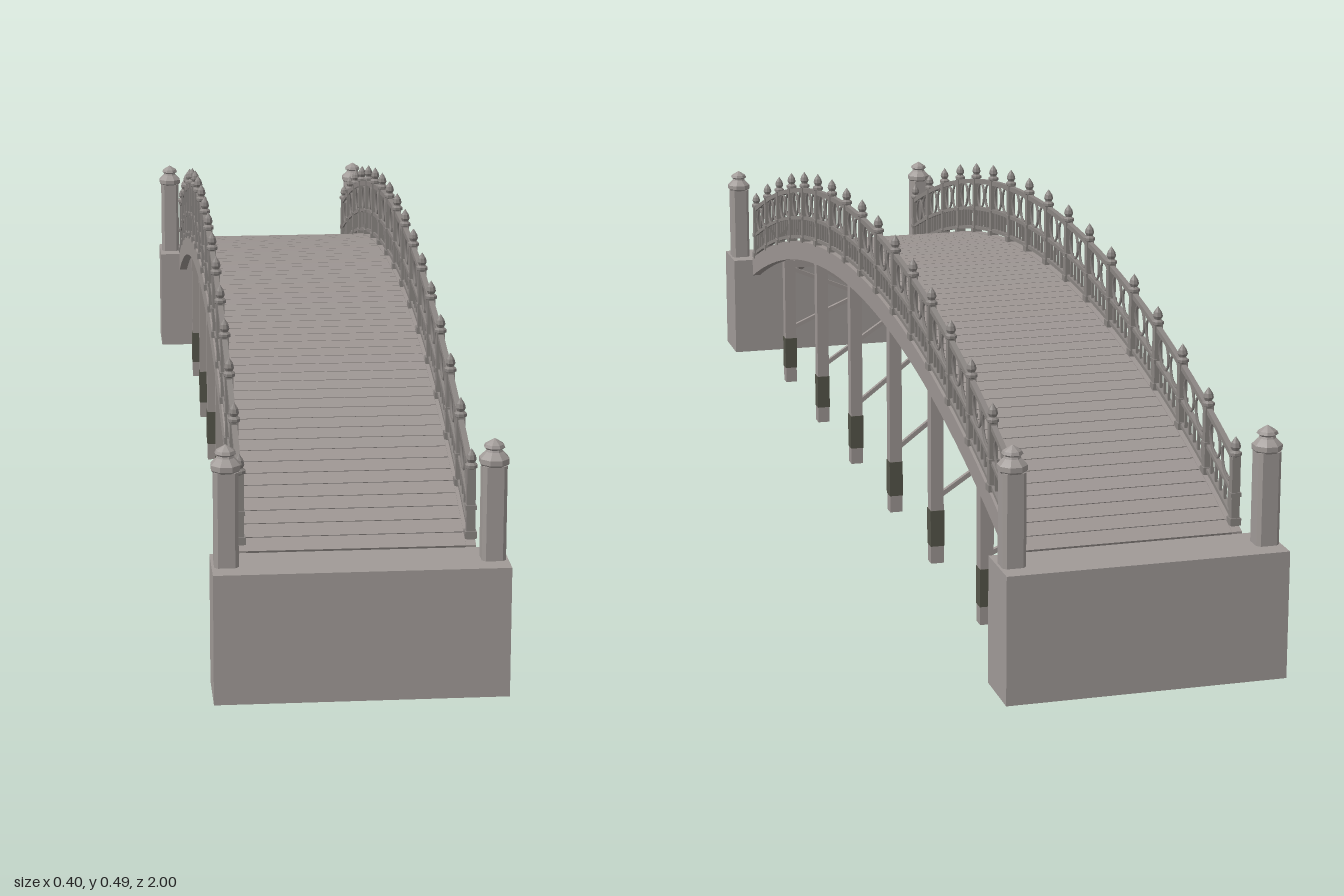
import * as THREE from 'three';
import { mergeGeometries, toCreasedNormals } from 'three/addons/utils/BufferGeometryUtils.js';

const END = 0.91, TOP = 0.36, RISE = 0.175;
const R = (END * END + RISE * RISE) / (2 * RISE);
// height of the walking surface along the arch
const deckY = (z) => TOP - R + Math.sqrt(R * R - z * z);

const mat = (name, color) => {
  const m = new THREE.MeshStandardMaterial({ color });
  m.name = name;
  return m;
};

const box = (w, h, d, x, y, z) => new THREE.BoxGeometry(w, h, d).translate(x, y, z);

// arched strip between two heights above the deck
function archStrip(x, width, low, high, end = END) {
  const n = 48, pts = [];
  for (let i = 0; i <= n; i++) {
    const z = -end + (2 * end * i) / n;
    pts.push(new THREE.Vector2(z, deckY(z) + low));
  }
  for (let i = n; i >= 0; i--) {
    const z = -end + (2 * end * i) / n;
    pts.push(new THREE.Vector2(z, deckY(z) + high));
  }
  const g = new THREE.ExtrudeGeometry(new THREE.Shape(pts), { depth: width, bevelEnabled: false });
  return g.translate(0, 0, -width / 2).rotateY(-Math.PI / 2).translate(x, 0, 0);
}

// faceted turned shape from [radius, height] pairs
function turned(profile, sides) {
  const g = new THREE.LatheGeometry(profile.map(([r, y]) => new THREE.Vector2(r, y)), sides);
  return toCreasedNormals(g.rotateY(Math.PI / sides), 0.3);
}

// square bar between two points
function bar(a, b, size) {
  const dir = b.clone().sub(a), len = dir.length();
  const q = new THREE.Quaternion().setFromUnitVectors(new THREE.Vector3(0, 1, 0), dir.normalize());
  const mid = a.clone().add(b).multiplyScalar(0.5);
  return new THREE.BoxGeometry(size, len, size).applyQuaternion(q).translate(mid.x, mid.y, mid.z);
}

export function createModel() {
  const model = new THREE.Group();
  model.name = 'archedFootbridge';
  const stone = mat('stone', 0xa09a97);
  const wood = mat('weatheredWood', 0x9c9592);
  const iron = mat('railingGrey', 0x8a8582);
  const weed = mat('darkWaterline', 0x55554a);
  const add = (name, geometry, material) => {
    const m = new THREE.Mesh(geometry, material);
    m.name = name;
    model.add(m);
    return m;
  };

  // abutments and their gate posts
  const c = 0.0165, k = 0.005;
  const section = new THREE.Shape([
    [-c, -c + k], [-c + k, -c], [c - k, -c], [c, -c + k],
    [c, c - k], [c - k, c], [-c + k, c], [-c, c - k],
  ].map(([x, y]) => new THREE.Vector2(x, y)));
  const pillar = new THREE.ExtrudeGeometry(section, { depth: 0.132, bevelEnabled: false })
    .rotateX(-Math.PI / 2);
  const cap = turned([[0, 0.13], [0.017, 0.13], [0.021, 0.134], [0.021, 0.141], [0.012, 0.15],
    [0.011, 0.153], [0.015, 0.156], [0.013, 0.16], [0, 0.168]], 8);
  for (const s of [-1, 1]) {
    add('abutment', box(0.4, 0.183, 0.09, 0, 0.0915, s * 0.955), stone);
    for (const side of [-1, 1]) {
      add('gatePost', pillar, stone).position.set(side * 0.18, 0.183, s * 0.955);
      add('gatePostCap', cap, stone).position.set(side * 0.18, 0.183, s * 0.955);
    }
  }

  // deck planks
  const planks = [], count = 66, pitch = (2 * END) / count;
  for (let i = 0; i < count; i++) {
    const z = -END + (i + 0.5) * pitch;
    const slope = Math.asin(z / R);
    const len = pitch / Math.cos(slope) - 0.0015;
    planks.push(new THREE.BoxGeometry(0.308, 0.01, len).translate(0, -0.005, 0)
      .rotateX(slope).translate(0, deckY(z), z));
  }
  add('deckPlanks', mergeGeometries(planks), wood);

  // side beams and inner stringers
  for (const s of [-1, 1]) add('sideBeam', archStrip(s * 0.157, 0.014, -0.033, 0.001), wood);
  for (const x of [-0.075, 0, 0.075]) add('stringer', archStrip(x, 0.014, -0.028, -0.009), wood);

  // trestles: two legs, a cross beam and crossed braces
  for (const z of [-0.68, -0.4, -0.138, 0.138, 0.4, 0.68]) {
    const top = deckY(z) - 0.03;
    for (const s of [-1, 1]) {
      add('trestleLeg', box(0.02, top, 0.02, s * 0.14, top / 2, z), wood);
      add('legWaterline', box(0.0215, 0.057, 0.0215, s * 0.14, 0.056, z), weed);
      add('trestleBrace', bar(
        new THREE.Vector3(s * 0.138, 0.1, z + s * 0.006),
        new THREE.Vector3(-s * 0.138, top - 0.015, z + s * 0.006), 0.007), wood);
    }
    add('crossBeam', box(0.3, 0.02, 0.018, 0, top - 0.004, z), wood);
  }

  // railings
  const bays = 16, span = 0.893, step = (2 * span) / bays;
  const finial = turned([[0.006, 0.098], [0.009, 0.1], [0.009, 0.104], [0.005, 0.107],
    [0.0075, 0.112], [0.006, 0.118], [0, 0.127]], 8);
  for (const s of [-1, 1]) {
    const x = s * 0.158;
    const rails = [[0.006, 0.012], [0.041, 0.047], [0.09, 0.098]];
    for (const [low, high] of rails) add('rail', archStrip(x, 0.008, low, high, span), iron);

    const balusters = [], ovals = [];
    for (let i = 0; i <= bays; i++) {
      const z = -span + i * step;
      const y = deckY(z);
      add('railPost', mergeGeometries([
        box(0.012, 0.102, 0.012, 0, 0.049, 0),
        box(0.016, 0.01, 0.016, 0, 0.005, 0),
        box(0.015, 0.006, 0.015, 0, 0.044, 0),
      ]), iron).position.set(x, y, z);
      add('railFinial', finial, iron).position.set(x, y, z);
      if (i === bays) break;

      // lower balusters
      for (let j = 1; j <= 5; j++) {
        const bz = z + (step * j) / 6;
        balusters.push(box(0.004, 0.034, 0.004, x, deckY(bz) + 0.026, bz));
      }
      // upper oval ornaments
      for (const f of [0.28, 0.72]) {
        const pts = [];
        for (let j = 0; j < 12; j++) {
          const a = (j / 12) * Math.PI * 2;
          const oz = z + step * f + Math.cos(a) * 0.02;
          pts.push(new THREE.Vector3(x, deckY(oz) + 0.0685 + Math.sin(a) * 0.022, oz));
        }
        ovals.push(new THREE.TubeGeometry(new THREE.CatmullRomCurve3(pts, true), 20, 0.0022, 4, true));
      }
    }
    add('balusters', mergeGeometries(balusters), iron);
    add('railOvals', mergeGeometries(ovals), iron);
  }
  return model;
}
